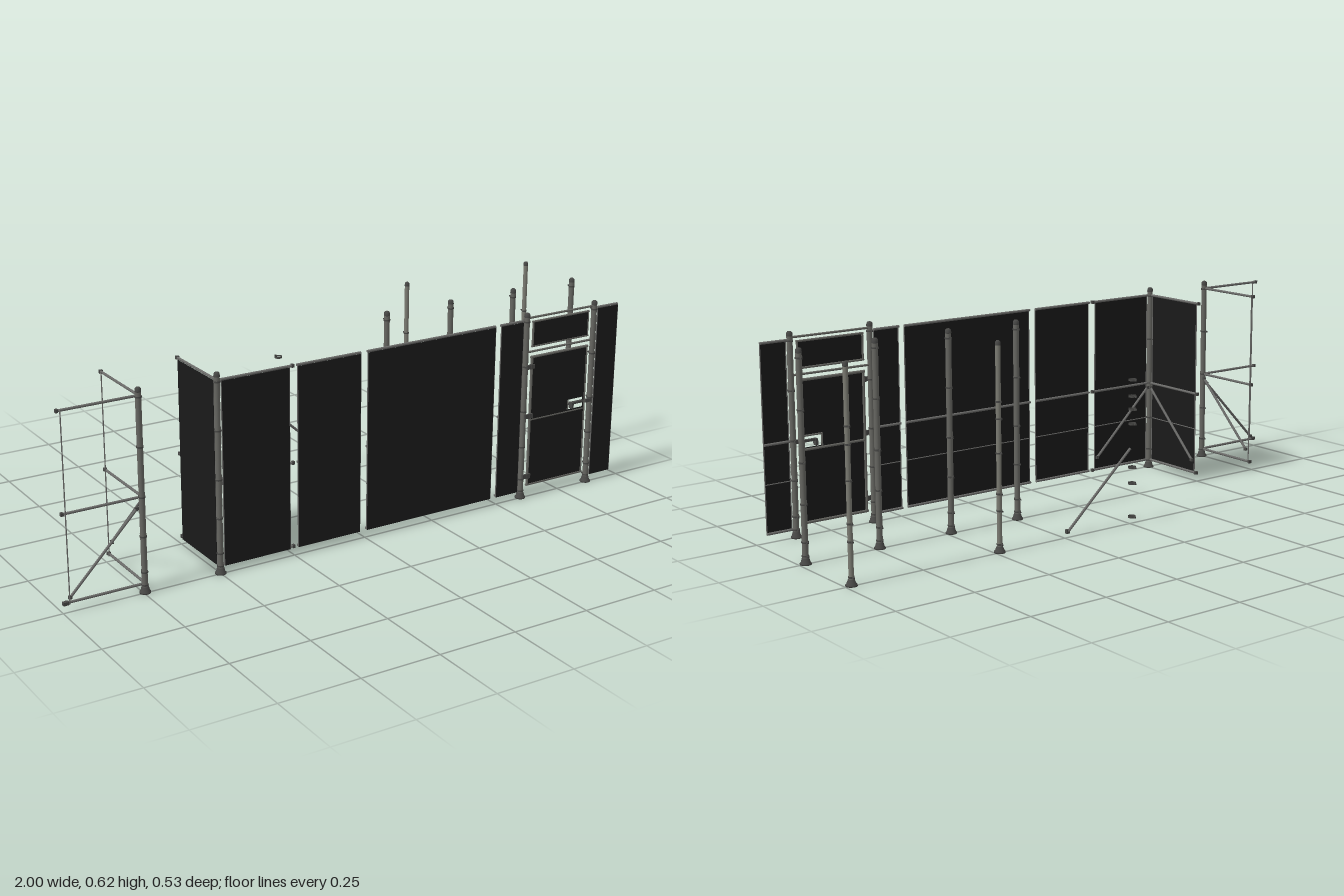
import * as THREE from 'three';

const mat = (name, color) => {
  const m = new THREE.MeshStandardMaterial({ color, side: THREE.DoubleSide });
  m.name = name;
  return m;
};

export function createModel() {
  const postGrey = mat('post grey', 0x666661);
  const paleGrey = mat('pale post grey', 0x7b7b72);
  const railGrey = mat('rail grey', 0x6a6a68);
  const fittingGrey = mat('dark fitting grey', 0x484846);
  const panelBlack = mat('panel black', 0x1a1a1a);
  const root = new THREE.Group();
  root.name = 'fenceKit';
  const FZ = 0.247; // fence line

  const add = (parent, name, geo, m, x = 0, y = 0, z = 0) => {
    const mesh = new THREE.Mesh(geo, m);
    mesh.name = name;
    mesh.position.set(x, y, z);
    parent.add(mesh);
    return mesh;
  };
  const box = (parent, name, m, w, h, d, x, y, z) =>
    add(parent, name, new THREE.BoxGeometry(w, h, d), m, x, y, z);
  const bar = (parent, name, m, a, b, r) => {
    const p = new THREE.Vector3(...a), q = new THREE.Vector3(...b);
    const dir = q.clone().sub(p);
    const mesh = add(parent, name, new THREE.CylinderGeometry(r, r, dir.length(), 10), m);
    mesh.position.copy(p).add(q).multiplyScalar(0.5);
    mesh.quaternion.setFromUnitVectors(new THREE.Vector3(0, 1, 0), dir.normalize());
  };
  const lathe = (parent, name, m, profile) =>
    add(parent, name, new THREE.LatheGeometry(profile.map(p => new THREE.Vector2(...p)), 14), m);

  // Clamp: a split band with a bolt tab on the back
  const clamp = (parent, x, y, z, r, h) => {
    add(parent, 'clampBand', new THREE.CylinderGeometry(r, r, h, 12, 1, true), fittingGrey, x, y, z);
    box(parent, 'clampTab', fittingGrey, 0.005, h * 0.8, 0.009, x, y, z - r - 0.002);
  };

  // Post: flared foot, shaft and rounded cap
  const post = (x, z, m, r, clamps) => {
    const g = new THREE.Group();
    g.name = 'post';
    g.position.set(x, 0, z);
    lathe(g, 'postFoot', fittingGrey, [[0, 0], [0.017, 0], [0.017, 0.004], [0.014, 0.007], [r + 0.002, 0.018], [r, 0.02]]);
    lathe(g, 'postShaft', m, [[r, 0.02], [r, 0.606]]);
    lathe(g, 'postCap', fittingGrey, [[r, 0.606], [r + 0.0005, 0.607], [r, 0.616], [r * 0.6, 0.62], [0, 0.621]]);
    clamps.forEach(y => clamp(g, 0, y, 0, r + 0.0015, 0.005));
    root.add(g);
  };
  const clampYs = [0.025, 0.065, 0.175, 0.295, 0.445, 0.592];
  const rearYs = [0.025, 0.125, 0.175, 0.295, 0.395, 0.445];
  [-0.745, -0.5, 0.6, 0.87].forEach(x => post(x, FZ, postGrey, 0.009, clampYs));
  [0.24, 0.485, 0.735, 0.98].forEach(x => post(x, 0, postGrey, 0.009, clampYs));
  [0.485, 0.98].forEach(x => post(x, -FZ, paleGrey, 0.0075, rearYs));

  // Bay along local +x from a post at the origin; the sheet lies within its edge bars
  const RAIL_YS = [0.028, 0.295, 0.595];
  const bay = (name, len, { sheet, brace, start = 0.012, cups = 0 }) => {
    const g = new THREE.Group();
    g.name = name;
    const end = start + len;
    RAIL_YS.forEach(y => {
      bar(g, 'rail', railGrey, [start, y, -0.002], [end + cups, y, -0.002], 0.004);
      if (cups) box(g, 'railCup', fittingGrey, 0.008, 0.01, 0.01, end + cups, y, -0.002);
    });
    if (sheet) {
      box(g, 'panelSheet', panelBlack, len - 0.004, 0.569, 0.003, start + len / 2, 0.3075, 0.003);
      bar(g, 'tensionWire', railGrey, [start, 0.175, 0.001], [end, 0.175, 0.001], 0.0015);
      bar(g, 'edgeBar', railGrey, [start + 0.001, 0.024, 0.002], [start + 0.001, 0.597, 0.002], 0.0018);
    }
    bar(g, 'edgeBar', railGrey, [end - 0.001, 0.024, 0.002], [end - 0.001, 0.597, 0.002], 0.0018);
    if (brace) {
      const ends = [[start + 0.002, brace[0], -0.006], [end - 0.006, brace[1], -0.006]];
      bar(g, 'diagonalBrace', railGrey, ...ends, 0.0042);
      ends.forEach(([x, y, z]) => box(g, 'braceClip', fittingGrey, 0.01, 0.01, 0.008, x, y, z));
    }
    root.add(g);
    return g;
  };
  const place = (g, x, z, ry = 0, flip = 1) => {
    g.position.set(x, 0, z);
    g.rotation.y = ry;
    g.scale.x = flip;
  };

  // Open corner frame: one bay along -x and one along -z
  const openFront = bay('openFrontBay', 0.222, { brace: [0.26, 0.04], cups: 0.008 });
  box(openFront, 'endFoot', fittingGrey, 0.018, 0.01, 0.012, 0.245, 0.028, 0);
  place(openFront, -0.745, FZ, 0, -1);
  place(bay('openSideBay', 0.222, { brace: [0.28, 0.07], cups: 0.01 }), -0.745, FZ, -Math.PI / 2, -1);

  // Covered corner: sheets face outward, rails and braces inward
  place(bay('cornerFrontBay', 0.225, { sheet: true, brace: [0.28, 0.07], cups: 0.012 }), -0.5, FZ);
  place(bay('cornerSideBay', 0.22, { sheet: true, brace: [0.28, 0.07], cups: 0.012 }), -0.5, FZ, -Math.PI / 2, -1);

  // Free-standing sheets and those flanking the gate
  [[-0.237, 0.22], [0.006, 0.472], [0.498, 0.088], [0.882, 0.085]].forEach(([x, w]) =>
    place(bay('fencePanel', w, { sheet: true, start: 0 }), x, FZ));

  // Gate between its two posts
  const gate = new THREE.Group();
  gate.name = 'gate';
  gate.position.z = FZ;
  root.add(gate);
  const frame = (name, x0, x1, y0, y1, r) => {
    [y0, y1].forEach(y => bar(gate, name, postGrey, [x0 - r, y, 0], [x1 + r, y, 0], r));
    [x0, x1].forEach(x => bar(gate, name, postGrey, [x, y0, 0], [x, y1, 0], r));
  };
  const rect = (P, x0, y0, x1, y1) => {
    const p = new P();
    p.moveTo(x0, y0); p.lineTo(x1, y0); p.lineTo(x1, y1); p.lineTo(x0, y1); p.closePath();
    return p;
  };
  frame('gateFrame', 0.626, 0.846, 0.04, 0.472, 0.0045);
  const leaf = rect(THREE.Shape, 0.628, 0.042, 0.844, 0.47);
  leaf.holes.push(rect(THREE.Path, 0.775, 0.268, 0.84, 0.302)); // lock opening
  add(gate, 'gateSheet', new THREE.ExtrudeGeometry(leaf, { depth: 0.003, bevelEnabled: false }), panelBlack);
  bar(gate, 'gateMidRail', postGrey, [0.626, 0.262, 0], [0.846, 0.262, 0], 0.004);
  bar(gate, 'lockBoxEdge', postGrey, [0.773, 0.262, 0], [0.773, 0.305, 0], 0.003);
  bar(gate, 'lockBoxEdge', postGrey, [0.773, 0.304, 0], [0.846, 0.304, 0], 0.003);
  box(gate, 'latchBar', fittingGrey, 0.05, 0.007, 0.01, 0.815, 0.288, 0.003);
  box(gate, 'latchHandle', fittingGrey, 0.008, 0.02, 0.016, 0.793, 0.281, 0.003);

  // Fixed transom above the gate, hung between two headers
  frame('transomFrame', 0.626, 0.846, 0.508, 0.588, 0.0035);
  box(gate, 'transomSheet', panelBlack, 0.216, 0.076, 0.003, 0.736, 0.548, 0.001);
  [0.49, 0.602].forEach(y => bar(gate, 'gateHeader', postGrey, [0.6, y, -0.002], [0.87, y, -0.002], 0.0035));

  // Hinges and latch keeper
  [0.075, 0.28, 0.445].forEach(y => {
    box(gate, 'hinge', fittingGrey, 0.03, 0.014, 0.006, 0.612, y, 0.012);
    add(gate, 'hingePin', new THREE.CylinderGeometry(0.004, 0.004, 0.016, 10), fittingGrey, 0.614, y, 0.012);
  });
  box(gate, 'latchKeeper', fittingGrey, 0.024, 0.012, 0.006, 0.858, 0.288, 0.008);

  // Loose hardware: a stack of clamps and a spare brace
  const spares = new THREE.Group();
  spares.name = 'spareParts';
  root.add(spares);
  [0.02, 0.125, 0.175, 0.31, 0.355, 0.395, 0.445].forEach(y => clamp(spares, -0.01, y, -FZ, 0.012, 0.006));
  bar(spares, 'spareBrace', railGrey, [0.0, 0.235, -FZ - 0.003], [0.238, 0.018, -FZ - 0.003], 0.0042);
  box(spares, 'braceClip', fittingGrey, 0.012, 0.012, 0.01, 0.238, 0.018, -FZ);

  return root;
}
